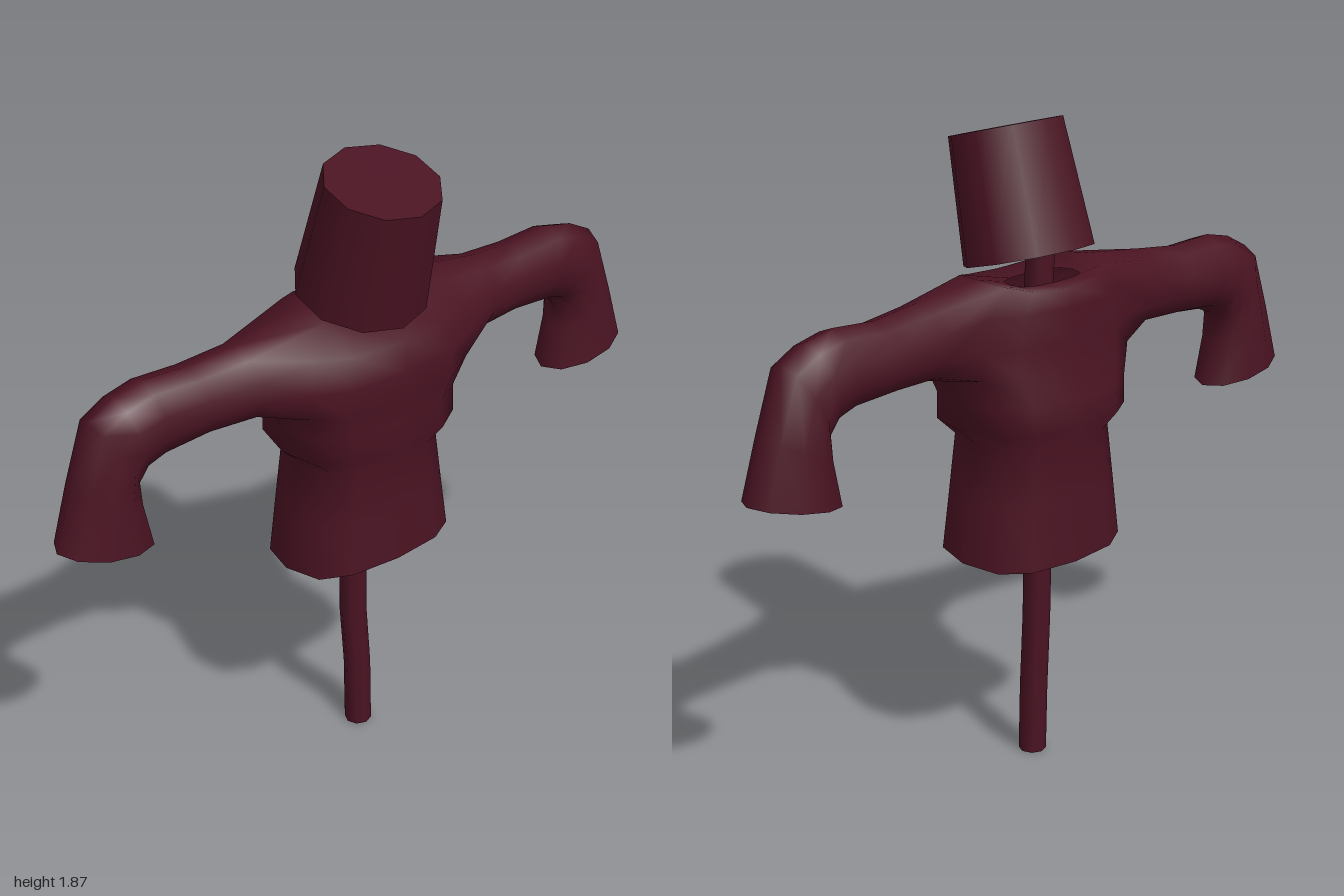
import * as THREE from 'three';

const COLS = 12;   // columns round the torso
const SIDES = 10;  // sides of a sleeve and of the head
const material = new THREE.MeshStandardMaterial({ color: 0x4a1322, side: THREE.DoubleSide });

// Shirt: torso rings with two armholes, each continued by a bent sleeve
function createShirt() {
  const points = [], index = [];
  const quad = (a, b, c, d, flip) => index.push(...(flip ? [a, c, b, a, d, c] : [a, b, c, a, c, d]));
  const bulge = (v, e) => Math.sign(v) * Math.pow(Math.abs(v), e);

  // Torso rings: height, half width, front z, back z, lift of the sides, lift of the front
  const rows = [
    [0.66, 0.265, 0.14, -0.22, 0, 0.015],
    [0.83, 0.24, 0.135, -0.215, 0, 0],
    [1.0, 0.215, 0.13, -0.21, 0, 0],
    [1.05, 0.27, 0.16, -0.24, 0, 0],
    [1.13, 0.275, 0.15, -0.23, 0, 0],
    [1.2, 0.31, 0.165, -0.21, 0.02, 0],
    [1.29, 0.31, 0.17, -0.205, 0, 0],
    [1.38, 0.28, 0.155, -0.2, 0, 0],
    [1.43, 0.21, 0.1, -0.19, 0.035, 0],
    [1.44, 0.12, -0.02, -0.14, 0, 0],
  ];
  const armpit = 5, shoulder = 8;
  for (const [y, rx, front, back, lift, tilt] of rows) {
    for (let c = 0; c < COLS; c++) {
      const a = (c / COLS) * Math.PI * 2, cos = Math.cos(a), sin = Math.sin(a);
      points.push(
        rx * bulge(cos, 0.8),
        y + lift * cos * cos + tilt * sin,
        (front + back) / 2 + ((front - back) / 2) * bulge(sin, 0.65),
      );
    }
  }
  const at = (r, c) => r * COLS + ((c + COLS) % COLS);
  for (let r = 0; r < rows.length - 1; r++) {
    for (let c = 0; c < COLS; c++) {
      const armhole = r >= armpit && r < shoulder && [11, 0, 5, 6].includes(c);
      if (!armhole) quad(at(r, c), at(r + 1, c), at(r + 1, c + 1), at(r, c + 1));
    }
  }

  // Sleeve rings: top x, y, bottom x, y, front z, back z
  const sleeve = [
    [0.42, 1.437, 0.4, 1.22, 0.07, -0.135],
    [0.57, 1.423, 0.54, 1.222, 0.05, -0.14],
    [0.71, 1.432, 0.68, 1.21, 0.048, -0.14],
    [0.8, 1.412, 0.73, 1.19, 0.045, -0.138],
    [0.88, 1.37, 0.755, 1.15, 0.045, -0.138],
    [0.945, 1.19, 0.742, 1.09, 0.045, -0.138],
    [1.0, 1.02, 0.71, 0.965, 0.055, -0.145],
  ];
  // Armhole edge as [row, column offset], from below, round the front, over the top
  const edge = [[5, 0], [5, 1], [6, 1], [7, 1], [8, 1], [8, 0], [8, -1], [7, -1], [6, -1], [5, -1]];
  for (const side of [1, -1]) {
    let previous = edge.map(([r, o]) => at(r, side > 0 ? o : COLS / 2 - o));
    for (const [tx, ty, bx, by, front, back] of sleeve) {
      const ring = [];
      for (let j = 0; j < SIDES; j++) {
        const a = (j / SIDES) * Math.PI * 2, up = (1 - Math.cos(a)) / 2;
        ring.push(points.length / 3);
        points.push(
          side * THREE.MathUtils.lerp(bx, tx, up),
          THREE.MathUtils.lerp(by, ty, up),
          (front + back) / 2 + ((front - back) / 2) * Math.sin(a),
        );
      }
      for (let j = 0; j < SIDES; j++) {
        const k = (j + 1) % SIDES;
        quad(previous[j], ring[j], ring[k], previous[k], side < 0);
      }
      previous = ring;
    }
  }

  const geometry = new THREE.BufferGeometry();
  geometry.setAttribute('position', new THREE.Float32BufferAttribute(points, 3));
  geometry.setIndex(index);
  geometry.computeVertexNormals();
  const shirt = new THREE.Mesh(geometry, material);
  shirt.name = 'shirt';
  return shirt;
}

// Crooked pole: a cylinder whose rings are moved onto a bent path
function createPole() {
  const path = [
    [-0.005, 0, -0.04], [0, 0.205, -0.05], [-0.03, 0.415, -0.03],
    [-0.01, 0.67, -0.055], [0, 1.1, -0.05], [-0.01, 1.65, -0.07],
  ];
  const steps = path.length - 1;
  const geometry = new THREE.CylinderGeometry(0.04, 0.04, 1, 8, steps);
  const position = geometry.attributes.position;
  for (let i = 0; i < position.count; i++) {
    const [x, y, z] = path[Math.round((position.getY(i) + 0.5) * steps)];
    position.setXYZ(i, position.getX(i) + x, y, position.getZ(i) + z);
  }
  const pole = new THREE.Mesh(geometry, material);
  pole.name = 'pole';
  return pole;
}

// Head: an upturned bucket, open below and tipped forward
function createHead() {
  const head = new THREE.Group();
  head.name = 'head';
  const height = 0.358, topRadius = 0.163;
  const wall = new THREE.Mesh(
    new THREE.CylinderGeometry(topRadius, 0.187, height, SIDES, 1, true), material);
  wall.name = 'headWall';
  const lid = new THREE.Mesh(
    new THREE.CircleGeometry(topRadius, SIDES).rotateZ(-Math.PI / 2).rotateX(-Math.PI / 2), material);
  lid.name = 'headTop';
  lid.position.y = height / 2;
  head.add(wall, lid);
  head.position.set(-0.018, 1.658, 0.038);
  head.rotation.x = THREE.MathUtils.degToRad(15);
  return head;
}

export function createModel() {
  const model = new THREE.Group();
  model.name = 'scarecrow';
  model.add(createShirt(), createPole(), createHead());
  return model;
}
